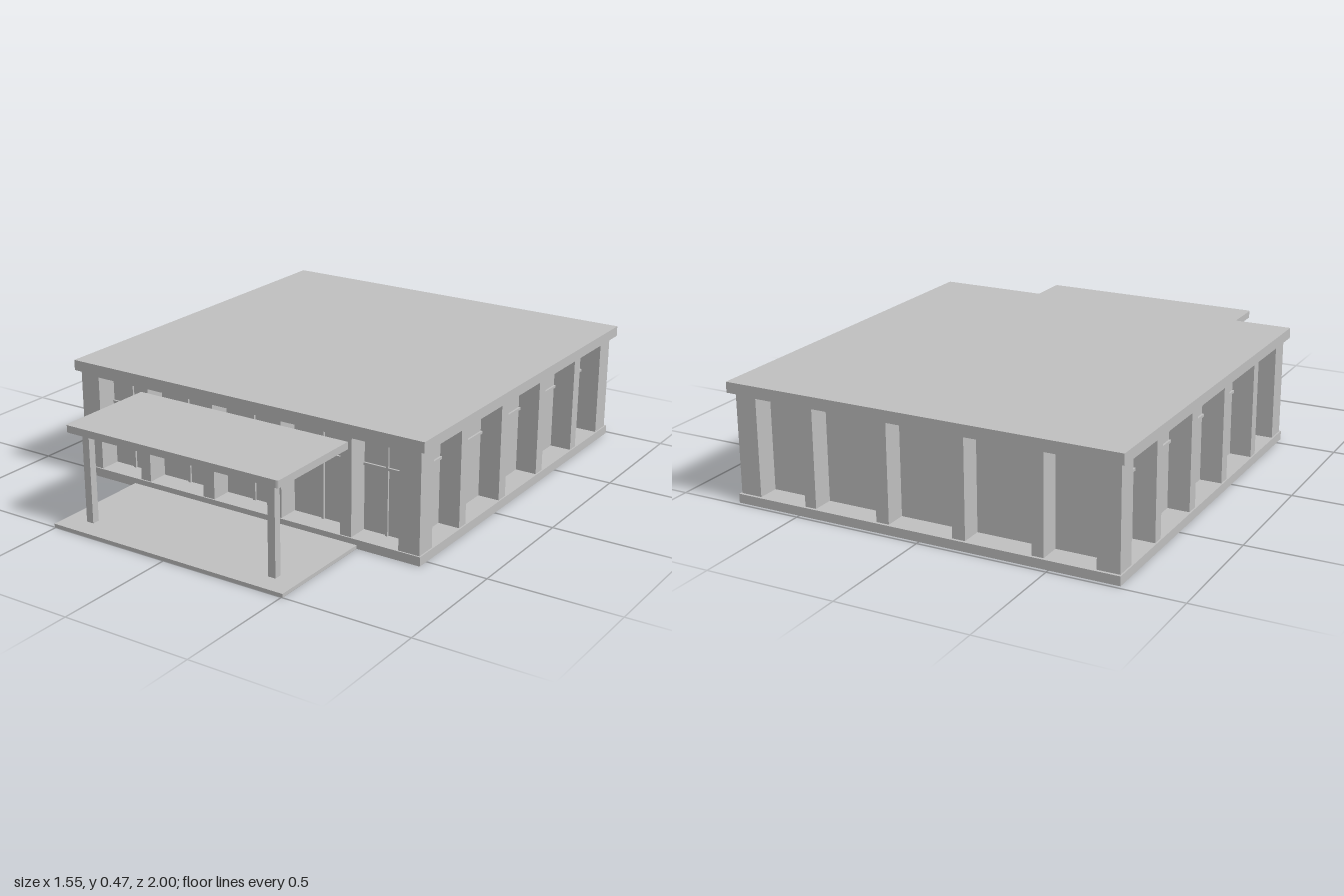
import * as THREE from 'three';

export function createModel() {
  const model = new THREE.Group();
  model.name = 'pavilion';
  const grey = new THREE.MeshStandardMaterial({ color: 0xbfbfbf });
  grey.name = 'concrete grey';

  const add = (name, geometry, parent = model) => {
    const mesh = new THREE.Mesh(geometry, grey);
    mesh.name = name;
    parent.add(mesh);
    return mesh;
  };
  // Box given by its limits on each axis
  const box = (name, x0, x1, y0, y1, z0, z1, parent) => {
    const mesh = add(name, new THREE.BoxGeometry(x1 - x0, y1 - y0, z1 - z0), parent);
    mesh.position.set((x0 + x1) / 2, (y0 + y1) / 2, (z0 + z1) / 2);
    return mesh;
  };

  const HALF = 0.757, MID_Z = -0.217, DEPTH = 0.085;
  const SILL = 0.035, HEAD = 0.41, WALL_TOP = 0.425;
  const bays = [[-0.672, -0.478], [-0.432, -0.178], [-0.127, 0.127], [0.178, 0.432], [0.478, 0.672]];

  // Floor slab, inner core and flat roof
  box('base', -0.763, 0.763, 0, SILL, -0.985, 0.546);
  box('core', -HALF + DEPTH, HALF - DEPTH, SILL, WALL_TOP, MID_Z - HALF + DEPTH, MID_Z + HALF - DEPTH);
  box('roof', -0.777, 0.777, WALL_TOP, 0.466, -1, 0.556);

  // One wall with five recessed bays; its outer face lies at local z = HALF
  function makeWall(name, angle, glazed) {
    const wall = new THREE.Group();
    wall.name = name;
    wall.position.z = MID_Z;
    wall.rotation.y = angle;
    model.add(wall);
    // Mitred ends keep the four walls from overlapping
    bays.slice(0, -1).forEach((bay, i) =>
      box('pier', bay[1], bays[i + 1][0], SILL, WALL_TOP, HALF - DEPTH, HALF, wall));
    bays.forEach(([a, b]) => {
      box('lintel', a, b, HEAD, WALL_TOP, HALF - DEPTH, HALF, wall);
      if (!glazed) return;
      // Slim window bars on the recessed pane
      const z = HALF - DEPTH, c = (a + b) / 2;
      box('mullion', c - 0.005, c + 0.005, SILL, HEAD, z, z + 0.008, wall);
      box('transom', a, b, 0.285, 0.295, z, z + 0.008, wall);
    });
  }
  makeWall('frontWall', 0, true);
  makeWall('leftWall', Math.PI / 2, true);
  makeWall('rightWall', -Math.PI / 2, true);
  makeWall('backWall', Math.PI, false);

  // Solid corner piers
  for (const sx of [-1, 1]) for (const sz of [-1, 1]) {
    const pier = box('cornerPier', 0, DEPTH, SILL, WALL_TOP, 0, DEPTH);
    pier.position.x = sx * (HALF - DEPTH / 2);
    pier.position.z = MID_Z + sz * (HALF - DEPTH / 2);
  }

  // Entrance terrace with two posts
  box('terrace', -0.505, 0.505, 0, 0.014, 0.546, 1);
  for (const s of [-1, 1]) box('post', s * 0.405 - 0.015, s * 0.405 + 0.015, 0.014, 0.366, 0.89, 0.92);

  // Canopy with softened front corners
  const w = 0.462, front = 0.958, r = 0.012;
  const plan = new THREE.Shape();
  plan.moveTo(-w, -0.54);
  plan.lineTo(-w, -front + r);
  plan.quadraticCurveTo(-w, -front, -w + r, -front);
  plan.lineTo(w - r, -front);
  plan.quadraticCurveTo(w, -front, w, -front + r);
  plan.lineTo(w, -0.54);
  const canopy = add('canopy', new THREE.ExtrudeGeometry(plan, { depth: 0.028, bevelEnabled: false, curveSegments: 4 }));
  canopy.rotation.x = -Math.PI / 2;
  canopy.position.y = 0.366;

  return model;
}
